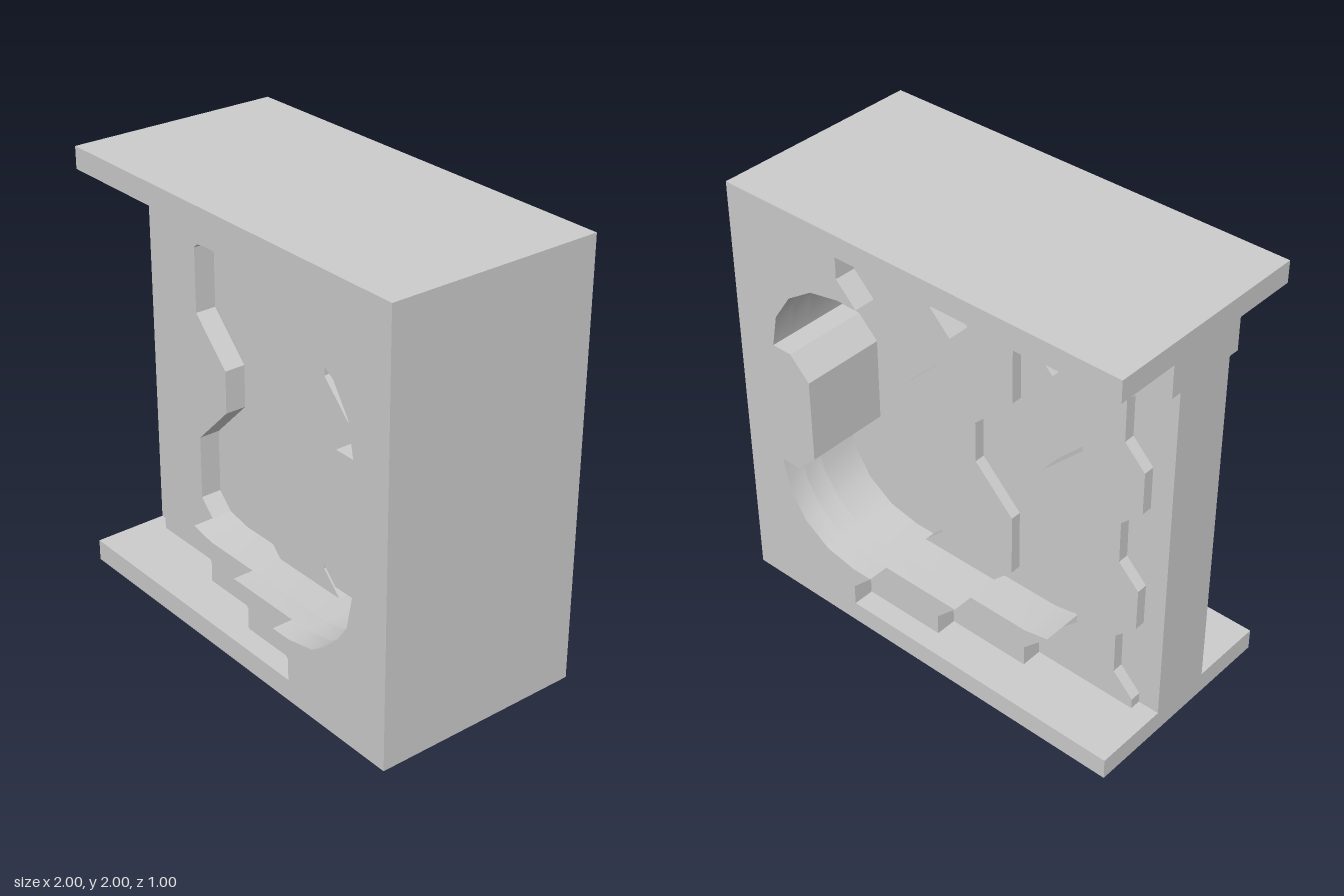
import * as THREE from 'three';
import { toCreasedNormals } from 'three/addons/utils/BufferGeometryUtils.js';

const material = new THREE.MeshStandardMaterial({ color: 0xcccccc });

// Wavy vertical line running from the top slab down to the bottom slab
const wave = (x) => [
  [x, 1.9], [x, 1.8], [x - 0.2, 1.6], [x - 0.2, 1.3], [x, 1.1],
  [x, 0.9], [x - 0.2, 0.7], [x - 0.2, 0.4], [x, 0.2], [x, 0.1],
];

const mirrorY = (points) => points.map(([x, y]) => [x, 2 - y]).reverse();

export function createModel() {
  const group = new THREE.Group();

  // Flat outline extruded between two depths
  function plate(name, points, z0, z1) {
    const shape = new THREE.Shape(points.map(([x, y]) => new THREE.Vector2(x, y)));
    const raw = new THREE.ExtrudeGeometry(shape, { depth: z1 - z0, bevelEnabled: false });
    raw.translate(0, 0, z0);
    const mesh = new THREE.Mesh(toCreasedNormals(raw, 0.5), material);
    mesh.name = name;
    group.add(mesh);
  }

  function box(name, x0, x1, y0, y1, halfDepth) {
    const geometry = new THREE.BoxGeometry(x1 - x0, y1 - y0, halfDepth * 2);
    geometry.translate((x0 + x1) / 2, (y0 + y1) / 2, 0);
    const mesh = new THREE.Mesh(geometry, material);
    mesh.name = name;
    group.add(mesh);
  }

  // Top and bottom slabs
  box('bottomSlab', -1, 1, 0, 0.1, 0.5);
  box('topSlab', -1, 1, 1.9, 2, 0.5);

  // Central panel: thin core, wavy raised slat and recessed edge strip
  box('panelCore', -0.7, 0.95, 0.1, 1.9, 0.1);
  box('edgeStrip', -1, -0.7, 0.1, 1.75, 0.15);
  plate('wavySlat', [...wave(0), ...wave(0.4).reverse()], -0.15, 0.15);

  // Thicker side plate with a small toothed outer edge
  const teeth = [[-1, 1.9], [-1, 1.75], [-0.9, 1.75]];
  for (const y of [1.65, 1.05, 0.45]) {
    teeth.push([-0.8, y], [-0.8, y - 0.2], [-0.9, y - 0.3]);
    if (y > 0.5) teeth.push([-0.9, y - 0.5]);
  }
  teeth.push([-0.9, 0.1]);
  plate('sidePlate', [...teeth, ...wave(-0.4).reverse()], -0.2, 0.2);

  // Recess outline: rounded corners and a bracket-shaped bump on the inner side
  const recessTop = [];
  for (let i = 0; i <= 4; i++) {
    const a = (i * Math.PI) / 8;
    recessTop.push([0.4 + 0.4 * Math.sin(a), 1.3 + 0.4 * Math.cos(a)]);
  }
  recessTop.push([0.7, 1.3], [0.6, 1.2]);

  // C-shaped frame, built as stepped layers on both faces
  const frame = (start) => {
    const upper = [...start, ...recessTop];
    return [...upper, ...mirrorY(upper), [1, 0.1], [1, 1.9]];
  };
  plate('frameInner', frame([[-0.4, 1.9], [-0.4, 1.8], [-0.525, 1.675], [-0.4, 1.7]]), -0.3, 0.3);
  [['frameMiddle', 0, 0.3], ['frameOuter', 0.4, 0.4]].forEach(([name, x, z]) => {
    const outline = frame([[x, 1.9], [x, 1.8], [x - 0.1, 1.7]]);
    plate(name + 'Front', outline, z, z + 0.1);
    plate(name + 'Back', outline, -z - 0.1, -z);
  });

  return group;
}
